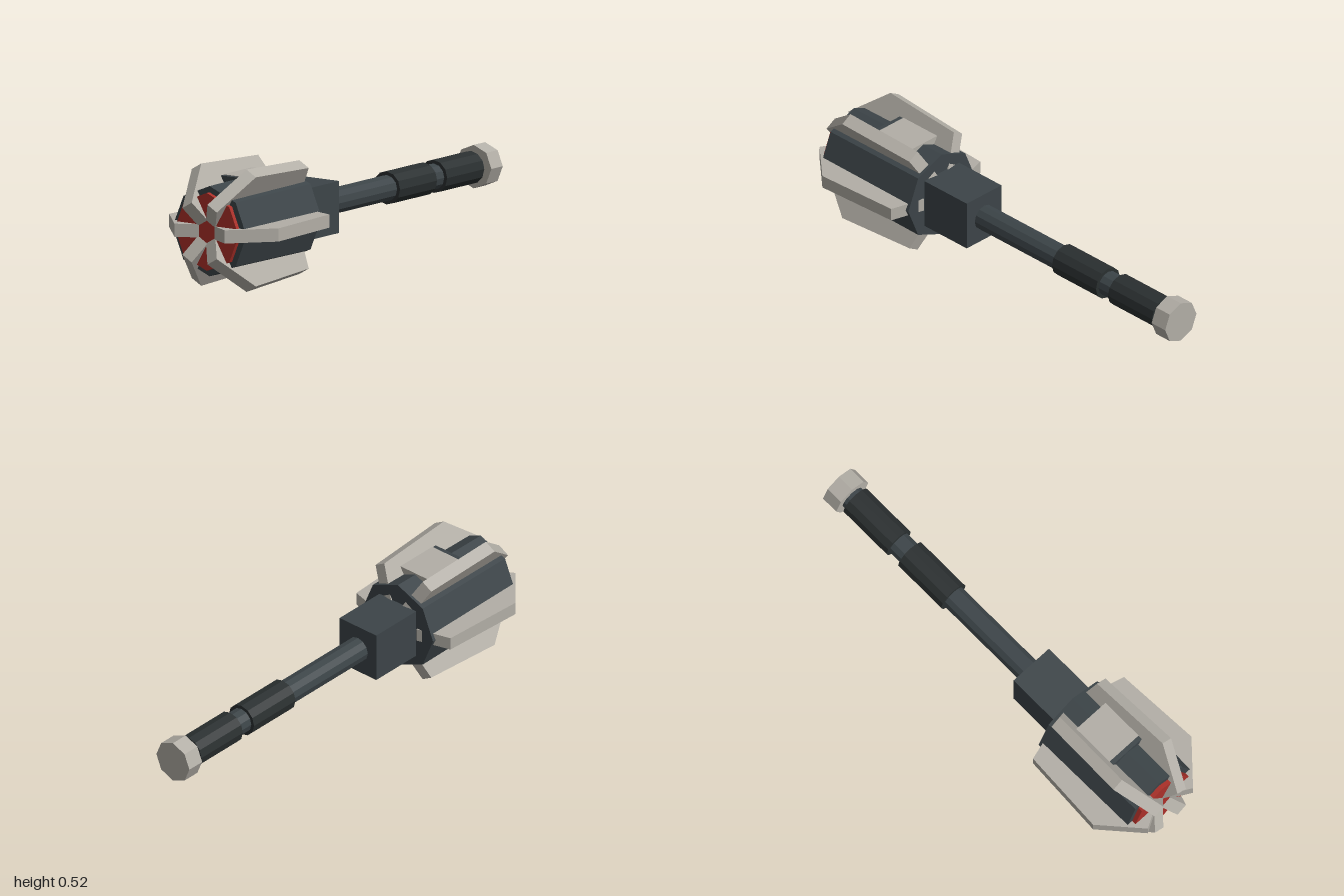
import * as THREE from 'three';

const AXIS_Y = 0.26;

const material = (color) =>
  new THREE.MeshStandardMaterial({ color, flatShading: true });

export function createModel() {
  const model = new THREE.Group();
  const core = new THREE.Group(); // everything is built around the z axis
  core.name = 'mace';
  core.position.y = AXIS_Y;
  model.add(core);

  const steel = material(0xb2aea6);
  const dark = material(0x3c4448);
  const wrap = material(0x2a2f30);
  const red = material(0xac3029);

  const add = (name, geometry, mat) => {
    const mesh = new THREE.Mesh(geometry, mat);
    mesh.name = name;
    core.add(mesh);
    return mesh;
  };

  // Prism along z, from zBack to zFront, with corners on the x and y axes
  const rod = (name, rBack, rFront, zBack, zFront, sides, mat) => {
    const g = new THREE.CylinderGeometry(rFront, rBack, zFront - zBack, sides);
    g.rotateX(Math.PI / 2);
    g.translate(0, 0, (zBack + zFront) / 2);
    return add(name, g, mat);
  };

  const box = (name, w, h, zBack, zFront, y, mat) => {
    const g = new THREE.BoxGeometry(w, h, zFront - zBack);
    g.translate(0, y, (zBack + zFront) / 2);
    return add(name, g, mat);
  };

  // Handle
  rod('shaft', 0.055, 0.055, -0.93, 0.18, 12, dark);
  rod('frontGrip', 0.07, 0.07, -0.57, -0.31, 12, wrap);
  rod('rearGrip', 0.07, 0.07, -0.9, -0.64, 12, wrap);
  rod('pommel', 0.092, 0.092, -1, -0.92, 8, steel);

  // Head
  box('neckBlock', 0.204, 0.22, 0.16, 0.415, 0, dark);
  rod('drum', 0.196, 0.191, 0.41, 0.93, 8, dark);
  rod('redCore', 0.165, 0.165, 0.88, 0.95, 8, red);

  // Plates above and below the drum
  for (const side of [1, -1]) {
    box('drumPlate', 0.17, 0.06, 0.52, 0.72, side * 0.171, steel);
    box('plateLip', 0.17, 0.058, 0.72, 0.74, side * 0.17, dark);
  }

  // Six flanges: profile in (radius, z), extruded to the flange width
  const width = 0.056;
  const profile = new THREE.Shape([
    new THREE.Vector2(0.041, 0.94),
    new THREE.Vector2(0.041, 0.95),
    new THREE.Vector2(0.13, 1.0),
    new THREE.Vector2(0.283, 0.83),
    new THREE.Vector2(0.262, 0.445),
    new THREE.Vector2(0.11, 0.403),
    new THREE.Vector2(0.11, 0.9),
  ]);
  const flange = new THREE.ExtrudeGeometry(profile, { depth: width, bevelEnabled: false });
  flange.translate(0, 0, -width / 2);
  flange.rotateX(Math.PI / 2);
  for (let i = 0; i < 6; i++) {
    add('flange', flange, steel).rotation.z = (i * Math.PI) / 3;
  }

  return model;
}
